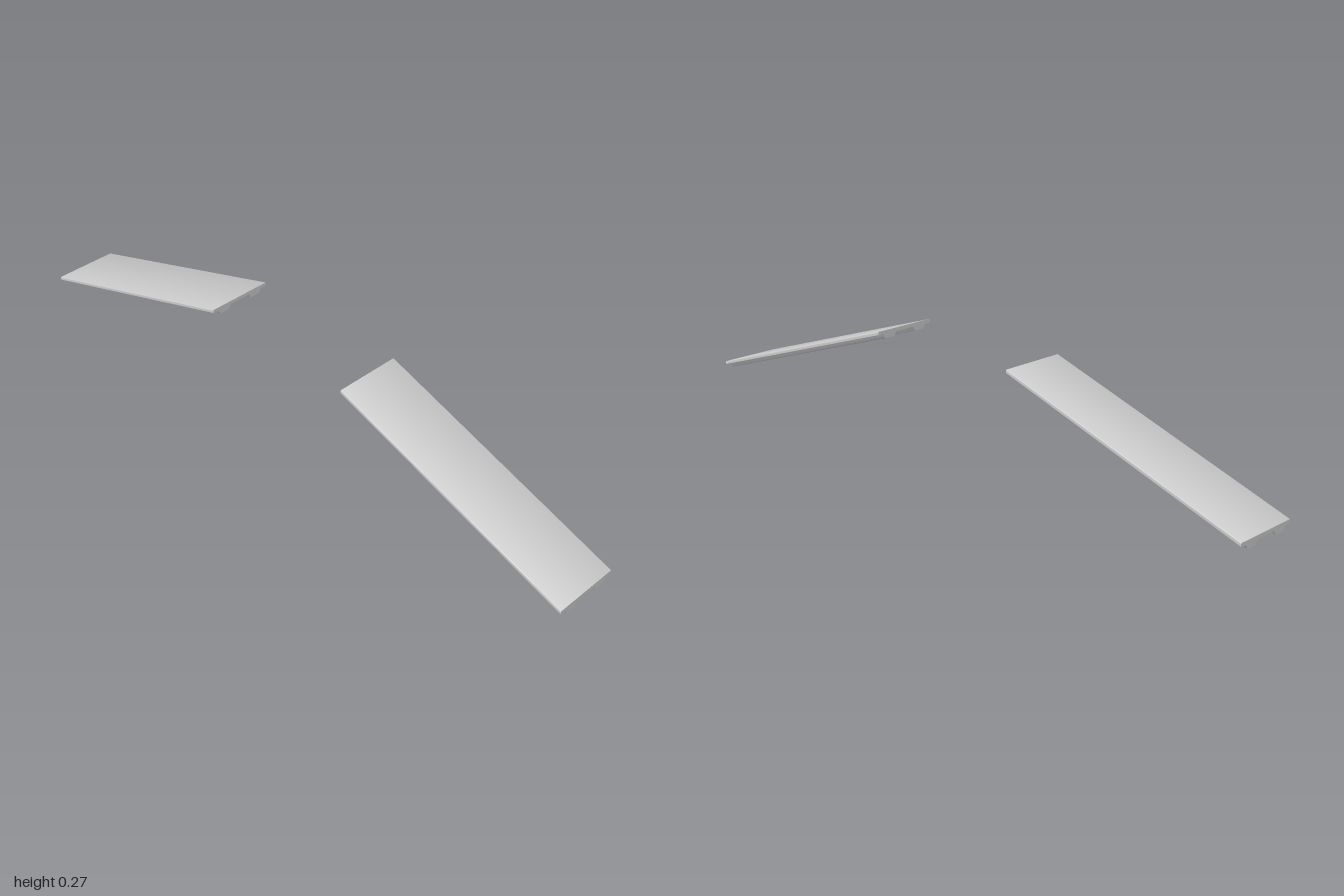
import * as THREE from 'three';
import { toCreasedNormals } from 'three/addons/utils/BufferGeometryUtils.js';

const INNER = 0.25, LENGTH = 0.75, RISE = 0.25;

// Closed outline whose corners [x, y, radius] are rounded
function roundedOutline(corners) {
  const shape = new THREE.Shape();
  corners.forEach(([x, y, r], i) => {
    const p = new THREE.Vector2(x, y);
    const towards = ([qx, qy]) =>
      new THREE.Vector2(qx, qy).sub(p).setLength(r).add(p);
    const a = towards(corners.at(i - 1));
    const b = towards(corners[(i + 1) % corners.length]);
    if (i === 0) shape.moveTo(a.x, a.y);
    else shape.lineTo(a.x, a.y);
    shape.quadraticCurveTo(x, y, b.x, b.y);
  });
  shape.closePath();
  return shape;
}

// Flat plank with two tapered ribs underneath, sloping down, ends cut plumb
function plankGeometry() {
  const half = [
    [0.034, 0.013, 0.002], [0.04, 0, 0.004], [0.074, 0, 0.004],
    [0.08, 0.013, 0.002], [0.1, 0.013, 0.002], [0.1, 0.024, 0.002],
  ];
  const mirrored = half.map(([x, y, r]) => [-x, y, r]).reverse();
  const geometry = new THREE.ExtrudeGeometry(roundedOutline([...half, ...mirrored]), {
    depth: LENGTH, bevelEnabled: false, curveSegments: 4,
  });
  const pos = geometry.attributes.position;
  for (let i = 0; i < pos.count; i++) {
    pos.setY(i, pos.getY(i) + RISE * (1 - pos.getZ(i) / LENGTH));
  }
  return toCreasedNormals(geometry, 0.6);
}

export function createModel() {
  const model = new THREE.Group();
  model.name = 'rampPair';
  const geometry = plankGeometry();
  const material = new THREE.MeshStandardMaterial({ color: 0xcccccc });

  // One plank on each side, running outward and down
  for (const side of [1, -1]) {
    const plank = new THREE.Mesh(geometry, material);
    plank.name = side > 0 ? 'leftRamp' : 'rightRamp';
    plank.rotation.y = side * Math.PI / 2;
    plank.position.x = side * INNER;
    model.add(plank);
  }
  return model;
}
